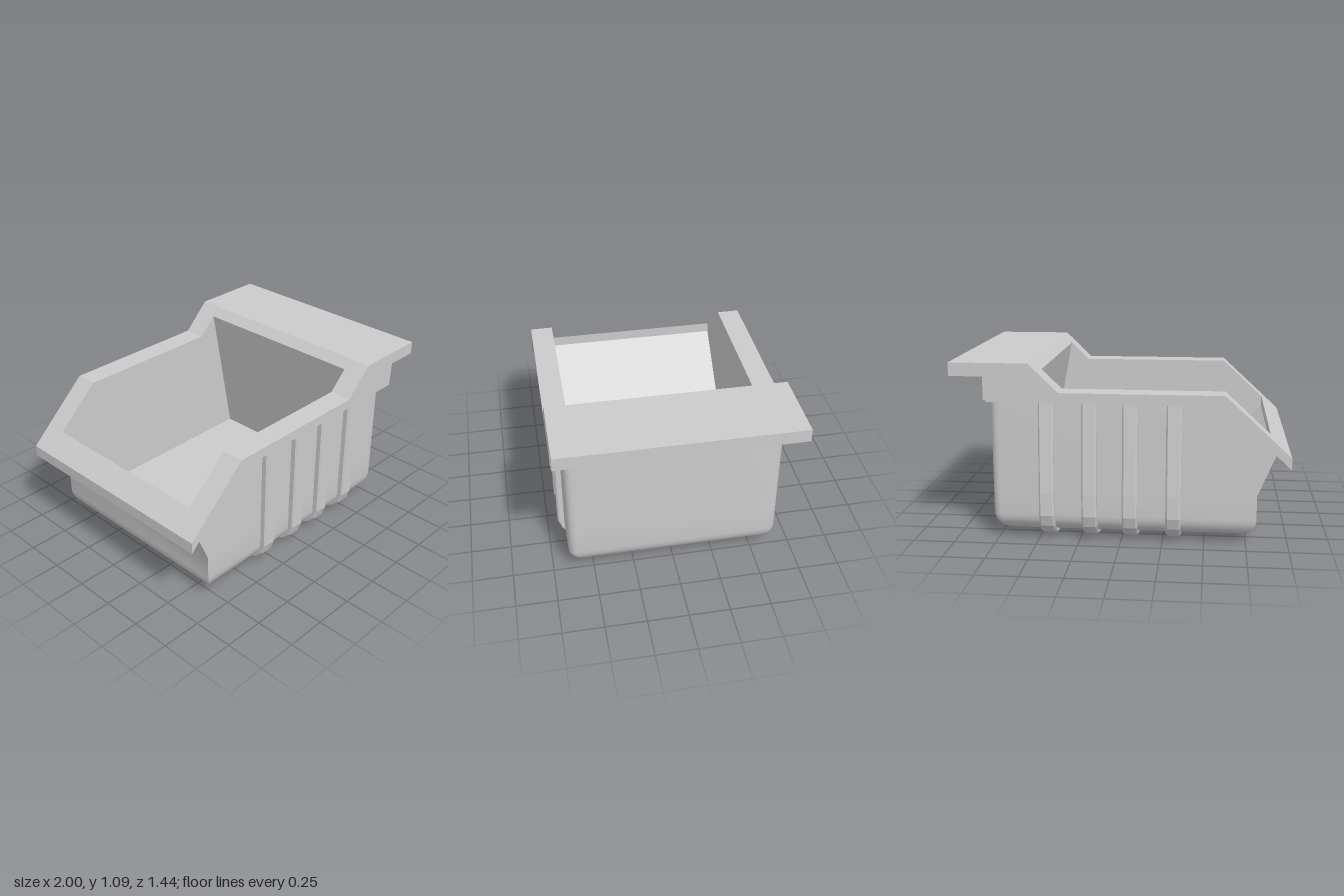
import * as THREE from 'three';
import { toCreasedNormals } from 'three/addons/utils/BufferGeometryUtils.js';

const material = new THREE.MeshStandardMaterial({ color: 0xcccccc });
const openMaterial = new THREE.MeshStandardMaterial({ color: 0xcccccc, side: THREE.DoubleSide });

const makeShape = (pts) => new THREE.Shape(pts.map(([x, y]) => new THREE.Vector2(x, y)));

function addMesh(group, name, geometry, mat = material) {
  const mesh = new THREE.Mesh(geometry, mat);
  mesh.name = name;
  group.add(mesh);
  return mesh;
}

// Side profile (x, y) extruded between two z positions
function prism(pts, z0, z1) {
  const geo = new THREE.ExtrudeGeometry(makeShape(pts), { depth: z1 - z0, bevelEnabled: false });
  return geo.translate(0, 0, z0);
}

// Horizontal U-shaped section, rounded at the +x corners
function bodyLoop(y, x0, inset) {
  const hz = 0.65 - inset, x1 = 0.78 - inset, r = 0.05, steps = 5;
  const pts = [[x0, y, hz]];
  for (const start of [0, 1]) {
    for (let i = 0; i <= steps; i++) {
      const a = Math.PI / 2 * (1 - start - i / steps);
      const cz = start ? -(hz - r) : hz - r;
      pts.push([x1 - r + r * Math.cos(a), y, cz + r * Math.sin(a)]);
    }
  }
  pts.push([x0, y, -hz]);
  return pts;
}

function bodyGeometry() {
  const loops = [], r = 0.115, steps = 6;
  // Rounded bottom edge
  for (let i = 0; i <= steps; i++) {
    const a = i / steps * Math.PI / 2;
    const inset = r * (1 - Math.sin(a));
    loops.push(bodyLoop(0.04 + r * (1 - Math.cos(a)), -0.81 + inset, inset));
  }
  // Straight wall, flared spout, sloping open mouth
  loops.push(bodyLoop(0.31, -0.81, 0), bodyLoop(0.57, -0.92, 0), bodyLoop(0.87, -0.6, 0));

  const pos = [], n = loops[0].length;
  const tri = (a, b, c) => pos.push(...a, ...b, ...c);
  for (let k = 0; k < loops.length - 1; k++) {
    const lo = loops[k], up = loops[k + 1];
    const count = k === loops.length - 2 ? n - 1 : n; // mouth stays open
    for (let i = 0; i < count; i++) {
      const j = (i + 1) % n;
      tri(lo[i], lo[j], up[i]);
      tri(lo[j], up[j], up[i]);
    }
  }
  for (let i = 0; i < n; i++) tri([0, 0.04, 0], loops[0][(i + 1) % n], loops[0][i]);
  const geo = new THREE.BufferGeometry();
  geo.setAttribute('position', new THREE.Float32BufferAttribute(pos, 3));
  return toCreasedNormals(geo, 0.5);
}

// Sloping front, floor and leaning rear wall of the cavity
function cavityGeometry(path, hz) {
  const pos = [];
  for (let i = 0; i < path.length - 1; i++) {
    const [ax, ay] = path[i], [bx, by] = path[i + 1];
    pos.push(ax, ay, hz, bx, by, hz, ax, ay, -hz);
    pos.push(bx, by, hz, bx, by, -hz, ax, ay, -hz);
  }
  const geo = new THREE.BufferGeometry();
  geo.setAttribute('position', new THREE.Float32BufferAttribute(pos, 3));
  geo.computeVertexNormals();
  return geo;
}

export function createModel() {
  const model = new THREE.Group();
  model.name = 'storageBin';

  addMesh(model, 'body', bodyGeometry());

  // Cavity
  const hz = 0.58;
  const cavity = [[-0.88, 0.604], [-0.375, 0.13], [0.645, 0.13], [0.508, 0.86]];
  addMesh(model, 'cavityFloor', cavityGeometry(cavity, hz), openMaterial);
  const wall = new THREE.ShapeGeometry(makeShape([...cavity, [-0.61, 0.86]]));
  for (const s of [1, -1]) {
    addMesh(model, s > 0 ? 'leftCavityWall' : 'rightCavityWall', wall, openMaterial).position.z = s * hz;
  }

  // Rim: two side rails, front lip and rear ledge
  const rail = [[-1, 0.56], [-0.61, 0.92], [0.355, 0.92], [0.53, 1.09], [1, 1.09], [1, 1.01],
    [0.79, 1.01], [0.78, 0.86], [-0.61, 0.86], [-1, 0.49]];
  addMesh(model, 'leftRail', prism(rail, hz, 0.72));
  addMesh(model, 'rightRail', prism(rail, -0.72, -hz));
  addMesh(model, 'frontLip', prism([[-1, 0.56], [-0.88, 0.67], [-0.88, 0.604], [-1, 0.49]], -hz, hz));
  addMesh(model, 'rearLedge', prism([[0.475, 1.035], [0.53, 1.09], [1, 1.09], [1, 1.01],
    [0.8, 1.01], [0.8, 0.86], [0.508, 0.86]], -hz, hz));
  addMesh(model, 'rearApron', prism([[0.77, 0.86], [0.81, 0.86], [0.81, 1.02], [0.77, 1.02]], -0.68, 0.68));

  // U-shaped ribs wrapping the sides and bottom, outline in (z, y)
  const ribOutline = [
    [0.69, 0.87], [0.69, 0.16], [0.665, 0.09], [0.61, 0.035], [0.53, 0],
    [-0.53, 0], [-0.61, 0.035], [-0.665, 0.09], [-0.69, 0.16], [-0.69, 0.3], [-0.655, 0.87],
    [-0.625, 0.87], [-0.625, 0.16], [-0.53, 0.065], [0.53, 0.065], [0.625, 0.16], [0.625, 0.87],
  ];
  const ribGeo = new THREE.ExtrudeGeometry(makeShape(ribOutline), {
    depth: 0.07, bevelEnabled: true, bevelSize: 0.01, bevelThickness: 0.01, bevelOffset: -0.01, bevelSegments: 1,
  });
  ribGeo.translate(0, 0, -0.035).rotateY(-Math.PI / 2);
  const ribs = new THREE.Group();
  ribs.name = 'ribs';
  for (const x of [-0.315, -0.055, 0.188, 0.445]) addMesh(ribs, 'rib', ribGeo).position.x = x;
  model.add(ribs);

  return model;
}
